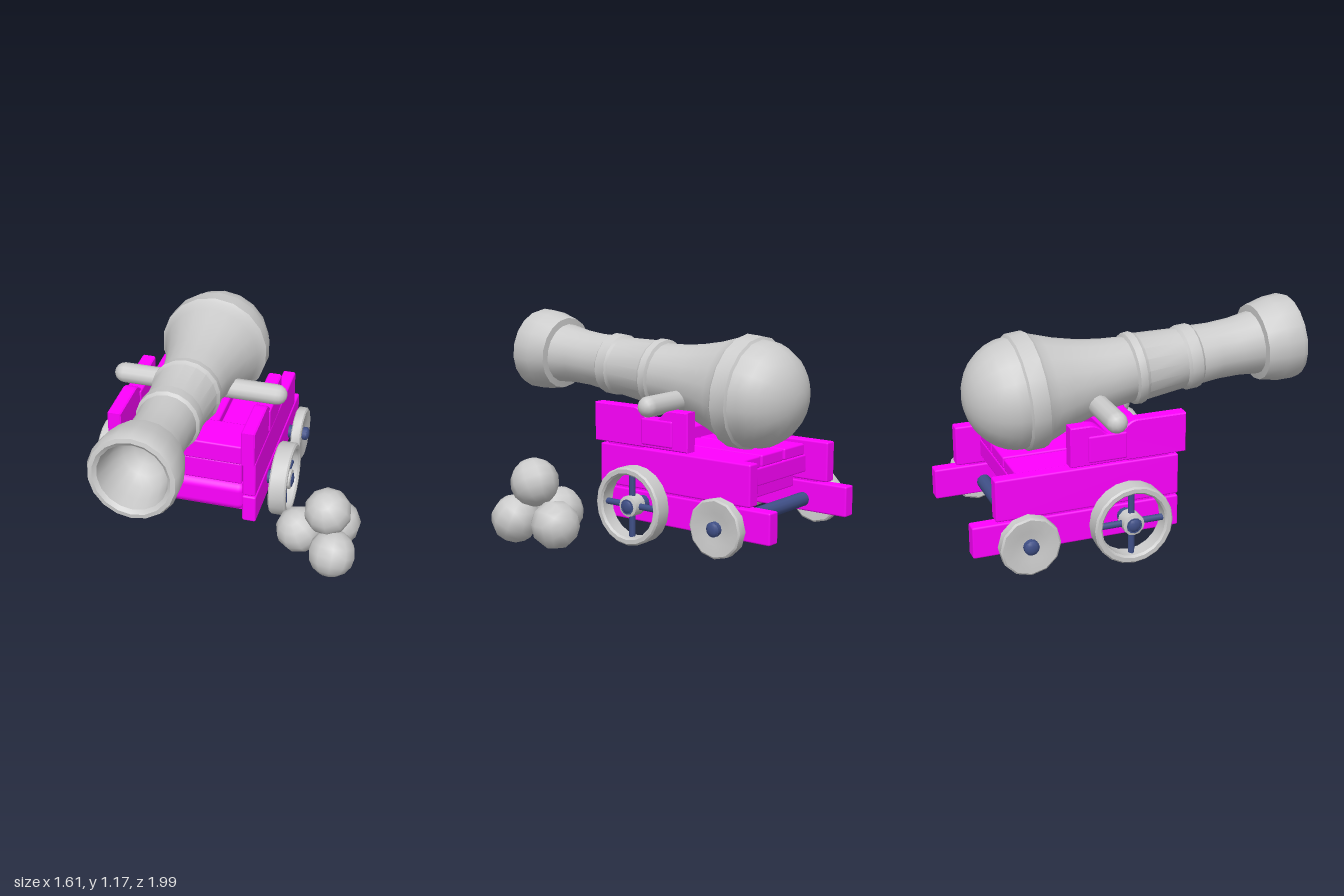
import * as THREE from 'three';
import { toCreasedNormals } from 'three/addons/utils/BufferGeometryUtils.js';
import { RoundedBoxGeometry } from 'three/addons/geometries/RoundedBoxGeometry.js';

const CX = -0.23; // centre line of the cannon and carriage
const iron = new THREE.MeshStandardMaterial({ color: 0xcccccc });
const wood = new THREE.MeshStandardMaterial({ color: 0xff00ff });
const steel = new THREE.MeshStandardMaterial({ color: 0x405088 });

function add(parent, name, geometry, material, x = 0, y = 0, z = 0) {
  const mesh = new THREE.Mesh(geometry, material);
  mesh.name = name;
  mesh.position.set(x, y, z);
  parent.add(mesh);
  return mesh;
}

// Lathe from [radius, height] pairs, with sharp edges kept
function lathe(points, segments) {
  const profile = points.map(([r, h]) => new THREE.Vector2(r, h));
  return toCreasedNormals(new THREE.LatheGeometry(profile, segments), 0.6);
}

// Plank given by its centre x, width and its y and z ranges
function plank(parent, name, x, width, y0, y1, z0, z1, radius = 0.01) {
  const geometry = new RoundedBoxGeometry(width, y1 - y0, z1 - z0, radius > 0.02 ? 4 : 1, radius);
  return add(parent, name, geometry, wood, x, (y0 + y1) / 2, (z0 + z1) / 2);
}

function createBarrel() {
  const profile = [];
  // Rounded breech
  for (let i = 0; i <= 8; i++) {
    const a = (i / 8) * Math.PI / 2;
    profile.push([0.298 * Math.sin(a), -0.64 - 0.275 * Math.cos(a)]);
  }
  profile.push(
    [0.312, -0.63], [0.314, -0.54], [0.296, -0.52], [0.278, -0.47], [0.245, -0.38], [0.21, -0.25],
    [0.19, -0.13], [0.178, -0.01], [0.195, 0], [0.198, 0.04], [0.184, 0.06],
    [0.166, 0.29], [0.178, 0.305], [0.178, 0.37], [0.163, 0.385],
    [0.156, 0.5], [0.16, 0.62], [0.175, 0.74], [0.212, 0.745], [0.236, 0.85],
    [0.24, 0.94], [0.228, 0.968], [0.205, 0.972], [0.185, 0.955],
    // Bore
    [0.172, 0.88], [0.155, 0.8], [0.12, 0.74], [0.07, 0.705], [0, 0.695]
  );
  const group = new THREE.Group();
  group.name = 'barrel';
  const tube = add(group, 'barrelTube', lathe(profile, 18), iron, CX, 0.862, 0);
  tube.rotation.x = Math.PI / 2 - 0.084;
  const pin = add(group, 'trunnion', new THREE.CapsuleGeometry(0.058, 0.9, 4, 12), iron, CX, 0.755, -0.24);
  pin.rotation.z = Math.PI / 2;
  return group;
}

// Top cheek plank with a rounded notch for the trunnion
function cheekGeometry() {
  const s = new THREE.Shape();
  s.moveTo(-0.16, 0.525);
  s.lineTo(0.475, 0.525);
  s.lineTo(0.475, 0.74);
  s.lineTo(0.37, 0.74);
  s.quadraticCurveTo(0.33, 0.74, 0.3, 0.705);
  s.quadraticCurveTo(0.24, 0.65, 0.18, 0.705);
  s.quadraticCurveTo(0.15, 0.74, 0.11, 0.74);
  s.lineTo(-0.16, 0.74);
  s.closePath();
  const g = new THREE.ExtrudeGeometry(s, {
    depth: 0.062, bevelThickness: 0.008, bevelSize: 0.006, bevelOffset: -0.006, bevelSegments: 1, curveSegments: 6
  });
  g.translate(0, 0, -0.031);
  g.rotateY(Math.PI / 2); // shape x becomes -z
  return g;
}

function createCarriage() {
  const group = new THREE.Group();
  group.name = 'carriage';
  const cheek = cheekGeometry();
  for (const side of [-1, 1]) {
    const x = CX + side * 0.382;
    add(group, 'upperCheek', cheek, wood, x);
    plank(group, 'trunnionSeat', x, 0.096, 0.54, 0.685, -0.38, -0.17);
    plank(group, 'cheekSpacer', x, 0.06, 0.505, 0.535, -0.16, 0.07);
    plank(group, 'middleCheek', x, 0.076, 0.29, 0.516, -0.875, 0.12);
    plank(group, 'lowerCheekSpacer', x, 0.06, 0.27, 0.3, -0.8, 0.08);
    plank(group, 'lowerCheek', x, 0.08, 0.11, 0.282, -1, 0.12);
  }
  // Cross members at the front
  plank(group, 'frontTransom', CX, 0.645, 0.45, 0.57, -0.17, 0.06);
  plank(group, 'frontMiddleBoard', CX, 0.645, 0.308, 0.448, -0.19, 0.05);
  plank(group, 'frontLowerBoard', CX, 0.69, 0.125, 0.308, -0.25, 0.07, 0.05);
  plank(group, 'bottomBoard', CX, 0.69, 0.11, 0.135, -0.25, 0.03);
  // Deck boards along the carriage
  for (const i of [-1, 0, 1]) plank(group, 'deckBoard', CX + i * 0.222, 0.208, 0.435, 0.5, -0.74, -0.16);
  // Cross members at the rear
  plank(group, 'rearUpperBeam', CX, 0.69, 0.335, 0.435, -0.74, -0.5);
  plank(group, 'rearLowerBeam', CX, 0.69, 0.24, 0.335, -0.66, -0.25);
  return group;
}

function createAxle(name, y, z, radius, halfLength) {
  const axle = new THREE.Mesh(new THREE.CylinderGeometry(radius, radius, halfLength * 2, 12), steel);
  axle.name = name;
  axle.rotation.z = Math.PI / 2;
  axle.position.set(CX, y, z);
  return axle;
}

// Open wheel with a rim, four spokes and a hub; its axis is y
function createSpokedWheel() {
  const wheel = new THREE.Group();
  wheel.name = 'frontWheel';
  const rim = [
    [0.173, 0.04], [0.173, -0.04], [0.183, -0.051], [0.205, -0.051],
    [0.214, -0.042], [0.214, 0.042], [0.205, 0.051], [0.183, 0.051], [0.173, 0.04]
  ];
  add(wheel, 'rim', lathe(rim, 20), iron);
  const hub = [[0.04, 0.045], [0.04, -0.045], [0.058, -0.04], [0.058, 0.04], [0.04, 0.045]];
  add(wheel, 'hub', lathe(hub, 12), iron);
  for (let i = 0; i < 4; i++) {
    const a = i * Math.PI / 2;
    const spoke = add(wheel, 'spoke', new THREE.CylinderGeometry(0.018, 0.018, 0.14, 8), steel,
      Math.cos(a) * 0.115, 0, Math.sin(a) * 0.115);
    spoke.rotation.set(Math.PI / 2, 0, Math.PI / 2 - a);
  }
  return wheel;
}

// Solid dished wheel; its axis is y
function createSolidWheel() {
  const profile = [
    [0, -0.018], [0.05, -0.018], [0.085, -0.025], [0.15, -0.031], [0.16, -0.024],
    [0.16, 0.024], [0.15, 0.031], [0.085, 0.025], [0.05, 0.018], [0, 0.018]
  ];
  const wheel = new THREE.Group();
  wheel.name = 'rearWheel';
  add(wheel, 'disc', lathe(profile, 12), iron);
  return wheel;
}

function createWheels() {
  const group = new THREE.Group();
  group.name = 'wheels';
  group.add(createAxle('frontAxle', 0.22, -0.185, 0.042, 0.565));
  group.add(createAxle('rearAxle', 0.177, -0.725, 0.04, 0.535));
  for (const side of [-1, 1]) {
    const front = createSpokedWheel();
    front.position.set(CX + side * 0.518, 0.222, -0.185);
    const rear = createSolidWheel();
    rear.position.set(CX + side * 0.492, 0.177, -0.725);
    for (const wheel of [front, rear]) {
      wheel.rotation.z = -side * Math.PI / 2;
      group.add(wheel);
    }
    // Rounded axle ends
    for (const [x, y, z] of [[0.555, 0.22, -0.185], [0.53, 0.177, -0.725]]) {
      const cap = add(group, 'axleCap', new THREE.SphereGeometry(0.04, 10, 8), steel, CX + side * x, y, z);
      cap.scale.x = 0.5;
    }
  }
  return group;
}

function createBalls() {
  const group = new THREE.Group();
  group.name = 'cannonballs';
  const spots = [[0.46, 0.17, 0.185], [0.65, 0.15, 0.045], [0.672, 0.147, 0.315], [0.622, 0.352, 0.217]];
  const geometry = new THREE.SphereGeometry(0.132, 10, 8);
  spots.forEach(([x, y, z], i) => {
    const ball = add(group, 'cannonball', geometry, iron, x, y, z);
    ball.rotation.set(0.4 + i, i * 0.7, 0.3);
  });
  return group;
}

export function createModel() {
  const model = new THREE.Group();
  model.name = 'cannon';
  model.add(createBarrel(), createCarriage(), createWheels(), createBalls());
  return model;
}
